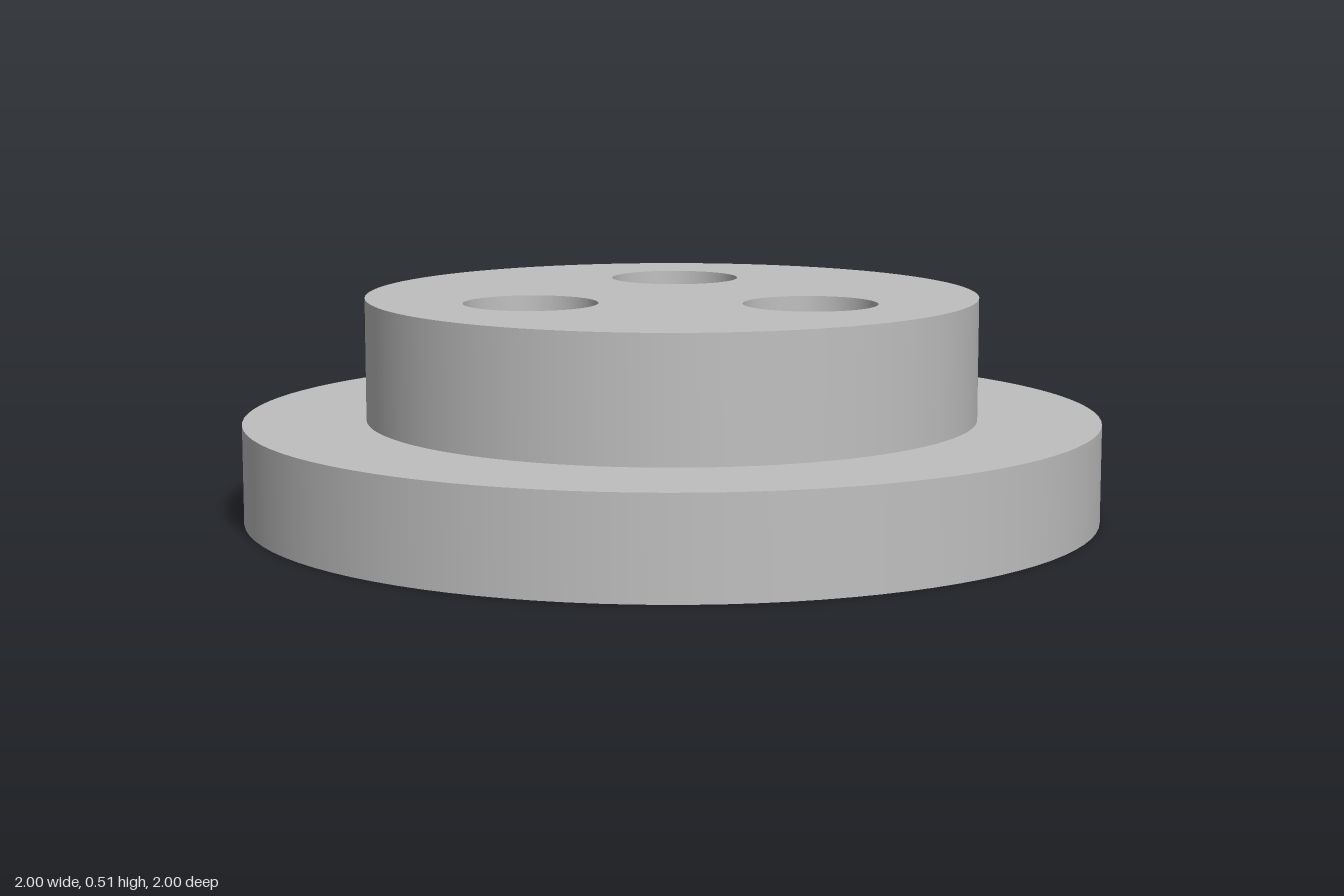
import * as THREE from 'three';
import { mergeGeometries } from 'three/addons/utils/BufferGeometryUtils.js';

const SEGMENTS = 96;
const FLANGE_R = 1, HUB_R = 0.714;
const FLANGE_TOP = 0.229, HUB_TOP = 0.514;
const HOLE_R = 0.154, BORE_R = 0.28, BORE_TOP = 0.286;
const HOLE_RING = 0.367;

// Three holes evenly spaced around the axis
const holeCentres = [0, 1, 2].map((i) => {
  const a = (i * 2 * Math.PI) / 3;
  return new THREE.Vector2(HOLE_RING * Math.cos(a), HOLE_RING * Math.sin(a));
});

// Revolved profile, one lathe per segment so that edges stay sharp.
// Rising segments face outward, falling ones face inward.
function turned(points) {
  const bands = [];
  for (let i = 0; i + 1 < points.length; i++) {
    const pair = [points[i], points[i + 1]].map(([r, y]) => new THREE.Vector2(r, y));
    bands.push(new THREE.LatheGeometry(pair, SEGMENTS));
  }
  return mergeGeometries(bands);
}

// Flat disc pierced by the three holes, facing up (1) or down (-1)
function piercedDisc(radius, holeRadius, y, facing) {
  const shape = new THREE.Shape().absarc(0, 0, radius, 0, Math.PI * 2);
  for (const c of holeCentres) {
    shape.holes.push(new THREE.Path().absarc(c.x, c.y, holeRadius, 0, Math.PI * 2, true));
  }
  return new THREE.ShapeGeometry(shape, SEGMENTS / 2)
    .rotateX((-facing * Math.PI) / 2)
    .translate(0, y, 0);
}

export function createModel() {
  const model = new THREE.Group();
  model.name = 'flangedHub';
  const grey = new THREE.MeshStandardMaterial({ color: 0xbfbfbf });
  grey.name = 'plain grey';

  const add = (name, geometry) => {
    const mesh = new THREE.Mesh(geometry, grey);
    mesh.name = name;
    model.add(mesh);
    return mesh;
  };

  // Wide base flange with its exposed shoulder
  add('flange', turned([[FLANGE_R, 0], [FLANGE_R, FLANGE_TOP], [HUB_R, FLANGE_TOP]]));
  add('flangeUnderside', piercedDisc(FLANGE_R, BORE_R, 0, -1));

  // Raised hub
  add('hubWall', turned([[HUB_R, FLANGE_TOP], [HUB_R, HUB_TOP]]));
  add('hubTop', piercedDisc(HUB_R, HOLE_R, HUB_TOP, 1));

  // Bolt holes, counterbored from below
  const hole = turned([[HOLE_R, HUB_TOP], [HOLE_R, BORE_TOP], [BORE_R, BORE_TOP], [BORE_R, 0]]);
  holeCentres.forEach((c, i) => add(`boltHole${i + 1}`, hole).position.set(c.x, 0, c.y));

  return model;
}
